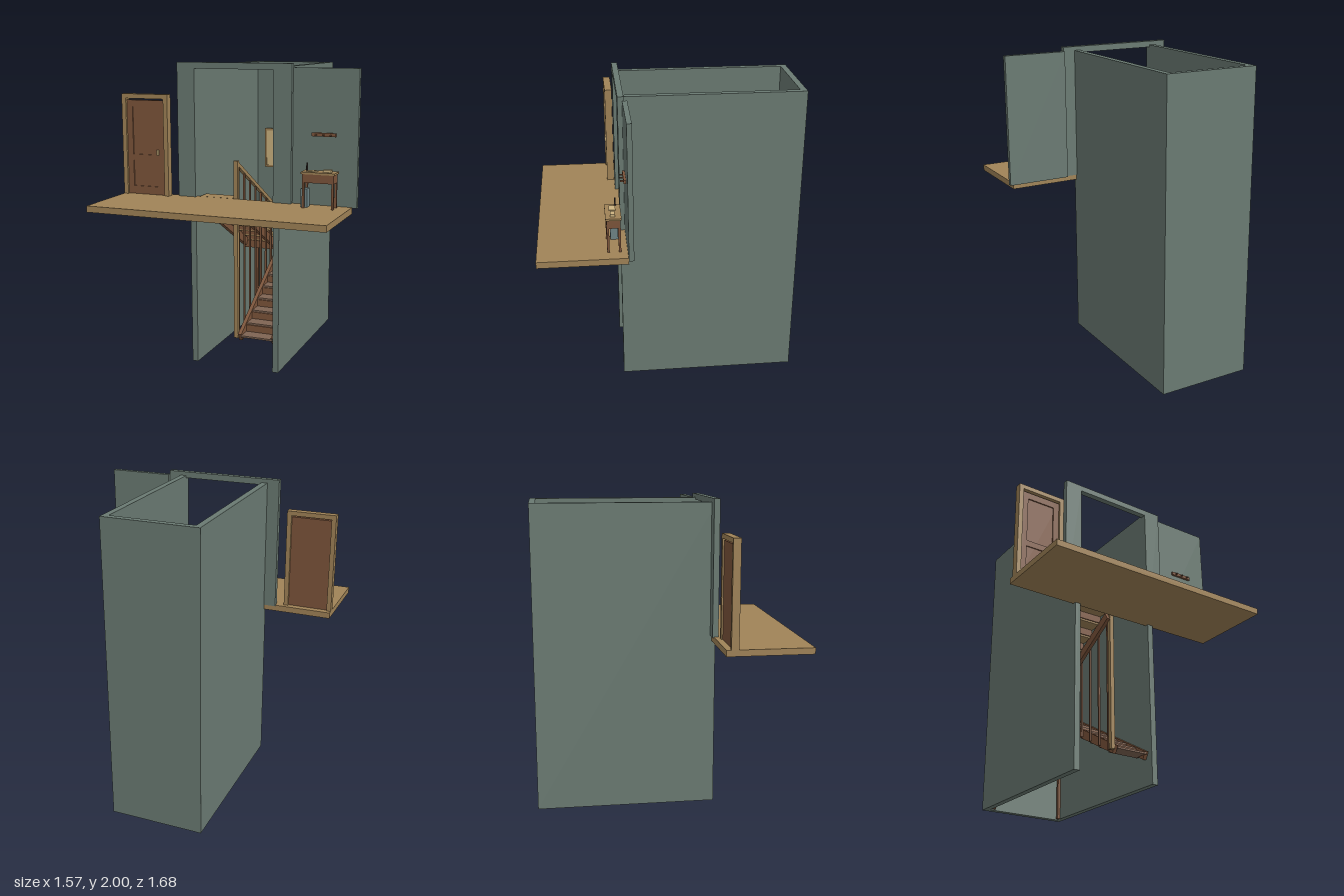
import * as THREE from 'three';

const mat = (name, color) => {
  const m = new THREE.MeshStandardMaterial({ color });
  m.name = name;
  return m;
};

export function createModel() {
  const wall = mat('wall green', 0x6a7a72);
  const oak = mat('oak', 0xa08357);
  const brown = mat('brown wood', 0x7d553b);
  const worn = mat('worn tread', 0x7f6453);
  const cream = mat('cream', 0xcdb480);
  const dark = mat('dark iron', 0x3a302a);
  const slate = mat('slate', 0x6f8586);

  const model = new THREE.Group();
  model.name = 'stairwell';
  const group = (name) => {
    const g = new THREE.Group();
    g.name = name;
    model.add(g);
    return g;
  };
  // Box given by its low and high limits on each axis
  const box = (parent, name, m, x0, x1, y0, y1, z0, z1) => {
    const mesh = new THREE.Mesh(new THREE.BoxGeometry(x1 - x0, y1 - y0, z1 - z0), m);
    mesh.position.set((x0 + x1) / 2, (y0 + y1) / 2, (z0 + z1) / 2);
    mesh.name = name;
    parent.add(mesh);
    return mesh;
  };
  // Sloping beam in the y-z plane between two centre points
  const beam = (parent, name, m, x0, x1, depth, ya, za, yb, zb) => {
    const mesh = new THREE.Mesh(
      new THREE.BoxGeometry(x1 - x0, depth, Math.hypot(yb - ya, zb - za)), m);
    mesh.position.set((x0 + x1) / 2, (ya + yb) / 2, (za + zb) / 2);
    mesh.rotation.x = -Math.atan2(yb - ya, zb - za);
    mesh.name = name;
    parent.add(mesh);
  };

  // Shaft, open at top, bottom and front
  const shaft = group('shaft');
  box(shaft, 'rightWall', wall, -0.325, -0.285, 0, 1.975, -0.84, 0.32);
  box(shaft, 'leftWall', wall, 0.25, 0.29, 0, 1.975, -0.84, 0.32);
  box(shaft, 'backWall', wall, -0.285, 0.25, 0, 1.975, -0.84, -0.8);

  // Upper floor, portal and side wall
  box(model, 'upperFloor', oak, -0.785, 0.755, 1.095, 1.135, 0.295, 0.84);
  const portal = group('portal');
  box(portal, 'portalPier', wall, -0.405, -0.285, 1.13, 2, 0.287, 0.325);
  box(portal, 'portalPier', wall, 0.25, 0.37, 1.13, 2, 0.287, 0.325);
  box(portal, 'portalLintel', wall, -0.285, 0.25, 1.96, 2, 0.287, 0.325);
  box(model, 'sideWall', wall, 0.37, 0.785, 1.13, 1.975, 0.266, 0.297);

  // Framed panel on the back wall
  const picture = group('picture');
  box(picture, 'pictureFace', cream, -0.205, 0.17, 1.195, 1.46, -0.8, -0.79);
  for (const [x0, x1, y0, y1] of [
    [-0.22, 0.185, 1.46, 1.475], [-0.22, 0.185, 1.18, 1.195],
    [-0.22, -0.205, 1.195, 1.46], [0.17, 0.185, 1.195, 1.46],
  ]) box(picture, 'pictureFrame', oak, x0, x1, y0, y1, -0.8, -0.783);

  // Half landing with its beam and legs
  const landing = group('landing');
  const zBack = -0.53, zFront = 0.287, steps = 8;
  const run = (zFront - zBack) / steps, rise = 0.058;
  box(landing, 'landingFloor', oak, -0.285, 0.25, 0.625, 0.67, -0.8, zBack);
  box(landing, 'landingBeam', brown, -0.285, 0.25, 0.605, 0.66, zBack, zBack + 0.012);
  box(landing, 'landingLeg', brown, -0.283, -0.263, 0, 0.625, -0.775, -0.755);
  box(landing, 'landingLeg', brown, 0.228, 0.248, 0, 0.625, -0.775, -0.755);

  // Two flights: lower climbs to the back, upper climbs to the front
  const lower = group('lowerFlight'), upper = group('upperFlight');
  const t = 0.012;
  for (let i = 0; i < steps; i++) {
    const z1 = zFront - i * run, yl = 0.21 + i * rise;
    box(lower, 'lowerTread', worn, 0.015, 0.235, yl - t, yl, z1 - run, z1);
    box(lower, 'lowerRiser', brown, 0.015, 0.235, yl, yl + rise - t, z1 - run, z1 - run + 0.008);
    const z0 = zBack + i * run, yu = 0.67 + (i + 1) * rise;
    box(upper, 'upperTread', oak, -0.27, -0.045, yu - t, yu, z0, z0 + run);
    box(upper, 'upperRiser', brown, -0.27, -0.045, yu - rise, yu - t, z0, z0 + 0.008);
  }
  for (const x of [-0.008, 0.225])
    beam(lower, 'lowerStringer', brown, x, x + 0.025, 0.055, 0.193, 0.272, 0.64, zBack + 0.005);
  for (const x of [-0.284, -0.055])
    beam(upper, 'upperStringer', brown, x, x + 0.025, 0.055, 0.65, zBack + 0.015, 1.095, 0.272);

  // Railing between the flights
  const railing = group('railing');
  const slope = (1.365 - 0.905) / (0.275 - zBack);
  box(railing, 'frontNewel', oak, -0.034, -0.006, 0.19, 1.38, 0.258, 0.286);
  box(railing, 'landingNewel', oak, -0.034, -0.006, 0.605, 0.93, -0.542, -0.514);
  beam(railing, 'handrail', oak, -0.032, -0.008, 0.025, 0.905, zBack, 1.365, 0.275);
  for (let i = 0; i < steps; i++) {
    const z = zBack + (i + 0.5) * run;
    const foot = 0.62 - (z - zBack) * 0.555;
    box(railing, 'baluster', brown, -0.026, -0.014, foot, 0.905 + slope * (z - zBack), z - 0.006, z + 0.006);
  }

  // Door standing in its frame
  const door = group('door');
  for (const x of [-0.785, -0.485])
    box(door, 'doorJamb', oak, x, x + 0.03, 1.135, 1.765, 0.325, 0.373);
  box(door, 'doorLintel', oak, -0.785, -0.455, 1.765, 1.795, 0.325, 0.373);
  box(door, 'doorLeaf', brown, -0.754, -0.486, 1.137, 1.755, 0.335, 0.353);
  for (const x of [-0.754, -0.526])
    box(door, 'doorStile', brown, x, x + 0.04, 1.137, 1.755, 0.353, 0.361);
  for (const [y0, y1] of [[1.137, 1.19], [1.36, 1.4], [1.71, 1.755]])
    box(door, 'doorRail', brown, -0.714, -0.526, y0, y1, 0.353, 0.361);
  box(door, 'doorHandle', cream, -0.535, -0.525, 1.4, 1.435, 0.361, 0.38);

  // Writing desk with things on it
  const desk = group('desk');
  box(desk, 'deskTop', oak, 0.465, 0.678, 1.345, 1.358, 0.33, 0.425);
  box(desk, 'deskApron', brown, 0.472, 0.671, 1.292, 1.345, 0.336, 0.419);
  for (const x of [0.472, 0.657])
    for (const z of [0.336, 0.405])
      box(desk, 'deskLeg', brown, x, x + 0.014, 1.135, 1.292, z, z + 0.014);
  box(desk, 'paper', cream, 0.495, 0.558, 1.358, 1.362, 0.36, 0.4);
  box(desk, 'book', cream, 0.597, 0.648, 1.358, 1.373, 0.368, 0.395);
  const pen = new THREE.Mesh(new THREE.CylinderGeometry(0.005, 0.006, 0.05, 10), dark);
  pen.position.set(0.485, 1.383, 0.36);
  pen.name = 'penStand';
  desk.add(pen);
  box(model, 'wasteBin', slate, 0.455, 0.498, 1.135, 1.25, 0.345, 0.393);

  // Coat rack on the side wall
  const rack = group('coatRack');
  box(rack, 'rackBoard', brown, 0.495, 0.648, 1.563, 1.585, 0.297, 0.312);
  for (const x of [0.525, 0.572, 0.619])
    box(rack, 'rackPeg', brown, x - 0.004, x + 0.004, 1.568, 1.576, 0.312, 0.33);

  return model;
}
